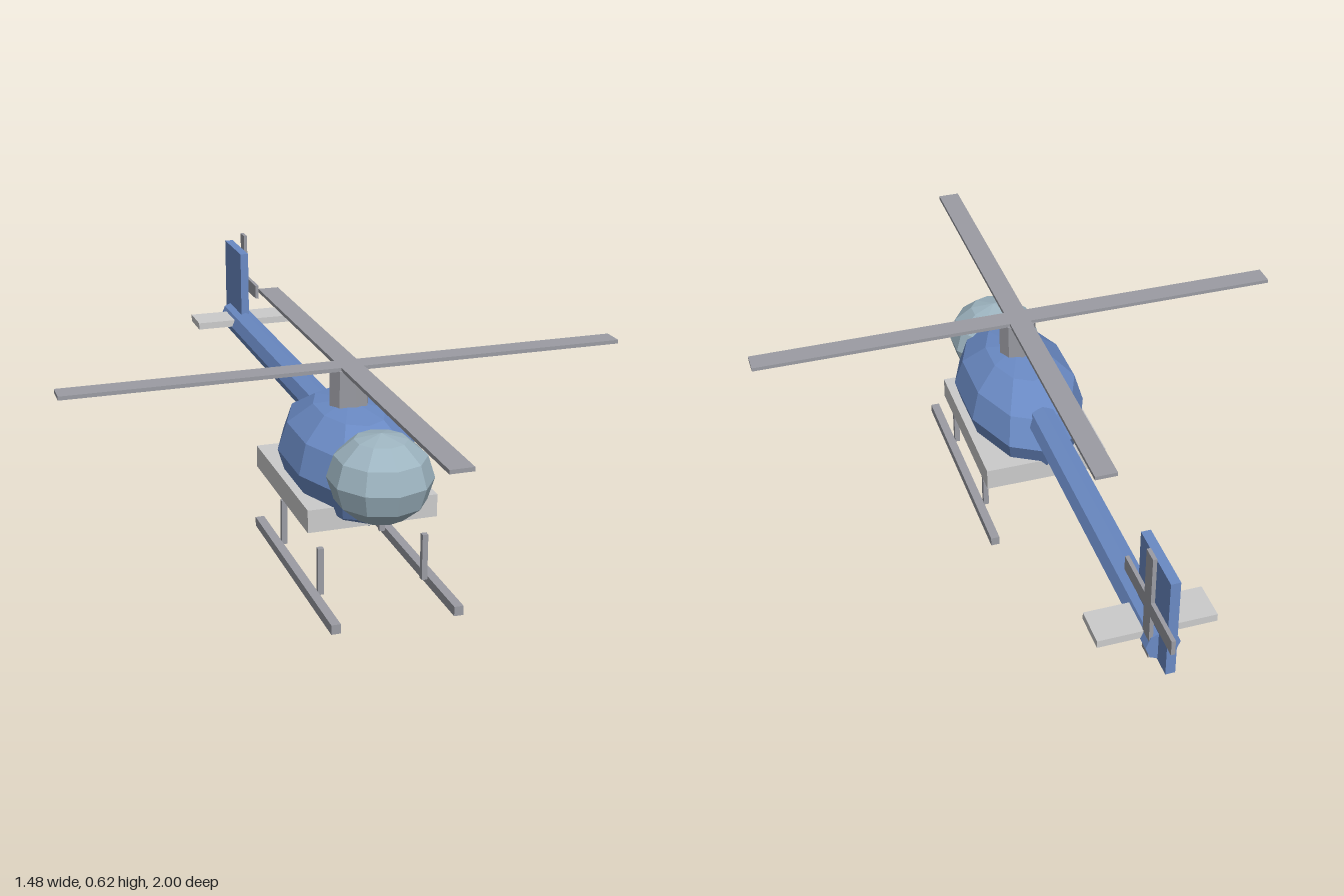
import * as THREE from 'three';

const paint = (color) => new THREE.MeshStandardMaterial({ color, flatShading: true });

export function createModel() {
  const model = new THREE.Group();
  model.name = 'helicopter';
  const blue = paint(0x6a8ac4);
  const glass = paint(0x9db4c0);
  const metal = paint(0x9b9ca3);
  const grey = paint(0xcccccc);

  const add = (name, geometry, material, x, y, z, parent = model) => {
    const mesh = new THREE.Mesh(geometry, material);
    mesh.name = name;
    mesh.position.set(x, y, z);
    parent.add(mesh);
    return mesh;
  };
  const box = (name, w, h, d, material, x, y, z, parent) =>
    add(name, new THREE.BoxGeometry(w, h, d), material, x, y, z, parent);
  // Faceted ellipsoid with a corner pointing forward
  const blob = (rx, ry, rz) =>
    new THREE.SphereGeometry(1, 10, 6).rotateY(Math.PI / 2).scale(rx, ry, rz);

  // Fuselage and glazed nose
  add('fuselage', blob(0.17, 0.154, 0.305), blue, 0, 0.298, 0.262);
  add('cockpit', blob(0.132, 0.114, 0.136), glass, 0, 0.332, 0.503);

  // Belly slab and small plate under it
  box('bellySlab', 0.34, 0.06, 0.46, grey, 0, 0.215, 0.225);
  box('bellyPlate', 0.12, 0.02, 0.06, grey, 0, 0.14, 0.14);

  // Tail boom, fin and stabilizer
  const boom = new THREE.CylinderGeometry(0.043, 0.043, 0.91, 8).rotateX(Math.PI / 2);
  add('tailBoom', boom, blue, 0, 0.353, -0.42);
  box('tailFin', 0.024, 0.273, 0.186, blue, 0, 0.447, -0.832);
  box('stabilizer', 0.295, 0.02, 0.1, grey, 0, 0.365, -0.79);

  // Main rotor: mast and two crossed blades
  const rotor = new THREE.Group();
  rotor.name = 'mainRotor';
  rotor.position.set(0, 0.541, 0.262);
  model.add(rotor);
  add('mast', new THREE.CylinderGeometry(0.052, 0.052, 0.115, 8), metal, 0, -0.06, 0, rotor);
  box('crossBlade', 1.475, 0.01, 0.059, metal, 0, 0, 0, rotor);
  box('longBlade', 0.059, 0.01, 1.475, metal, 0, 0, 0, rotor);

  // Tail rotor on the left of the fin
  const tailRotor = new THREE.Group();
  tailRotor.name = 'tailRotor';
  tailRotor.position.set(0.03, 0.469, -0.853);
  model.add(tailRotor);
  box('uprightBlade', 0.01, 0.295, 0.04, metal, 0, 0, 0, tailRotor);
  box('levelBlade', 0.01, 0.04, 0.295, metal, 0, 0, 0, tailRotor);

  // Landing gear
  for (const side of [-1, 1]) {
    const gear = new THREE.Group();
    gear.name = side > 0 ? 'leftGear' : 'rightGear';
    model.add(gear);
    box('skid', 0.024, 0.025, 0.67, metal, side * 0.158, 0.0125, 0.307, gear);
    for (const z of [0.455, 0.14])
      box('strut', 0.015, 0.125, 0.015, metal, side * 0.138, 0.0785, z, gear);
  }
  return model;
}
